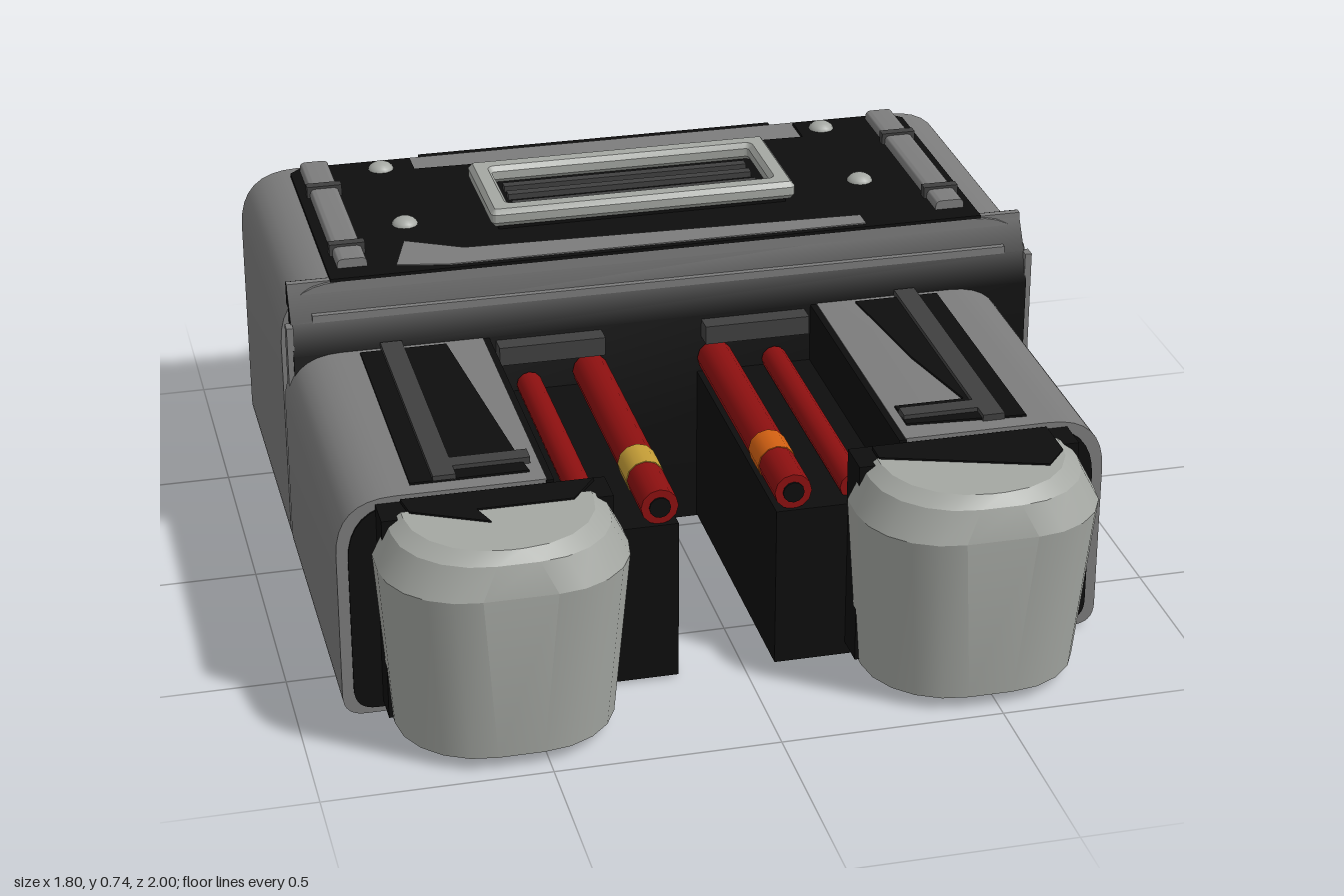
import * as THREE from 'three';
import { toCreasedNormals } from 'three/addons/utils/BufferGeometryUtils.js';

const material = (name, color) => {
  const m = new THREE.MeshStandardMaterial({ color });
  m.name = name;
  return m;
};

export function createModel() {
  const model = new THREE.Group();
  const grey = material('hull grey', 0x7c7c7c);
  const black = material('black', 0x0e0e0e);
  const steel = material('dark steel', 0x404040);
  const light = material('light metal', 0xa4a7a2);
  const red = material('red', 0x8c1010);
  const yellow = material('yellow', 0xc39c36);
  const orange = material('orange', 0xd26012);

  const add = (name, geometry, mat, x = 0, y = 0, z = 0) => {
    const mesh = new THREE.Mesh(geometry, mat);
    mesh.name = name;
    mesh.position.set(x, y, z);
    model.add(mesh);
    return mesh;
  };
  // Box given by its limits on each axis
  const block = (name, mat, x0, x1, y0, y1, z0, z1) =>
    add(name, new THREE.BoxGeometry(x1 - x0, y1 - y0, z1 - z0), mat,
      (x0 + x1) / 2, (y0 + y1) / 2, (z0 + z1) / 2);

  // Rectangle with its own radius per corner: bottom left, bottom right, top right, top left
  const roundRect = (x0, x1, y0, y1, [bl, br, tr, tl]) => {
    const s = new THREE.Shape();
    s.moveTo(x0 + bl, y0);
    s.lineTo(x1 - br, y0).quadraticCurveTo(x1, y0, x1, y0 + br);
    s.lineTo(x1, y1 - tr).quadraticCurveTo(x1, y1, x1 - tr, y1);
    s.lineTo(x0 + tl, y1).quadraticCurveTo(x0, y1, x0, y1 - tl);
    s.lineTo(x0, y0 + bl).quadraticCurveTo(x0, y0, x0 + bl, y0);
    return s;
  };
  const extrude = (shape, depth, curveSegments = 8) => toCreasedNormals(
    new THREE.ExtrudeGeometry(shape, { depth, bevelEnabled: false, curveSegments }), 0.6);
  // Thin horizontal plate from x,z points, with its top at the given height
  const plate = (name, mat, y, points) => {
    const shape = new THREE.Shape(points.map(([x, z]) => new THREE.Vector2(x, z)));
    add(name, extrude(shape, 0.008).rotateX(Math.PI / 2), mat, 0, y, 0);
  };
  // Skin stretched over rows of points
  const loft = (rows, crease) => {
    const n = rows[0].length, index = [];
    for (let i = 0; i < rows.length - 1; i++) {
      for (let j = 0; j < n - 1; j++) {
        const a = i * n + j, d = a + n;
        index.push(a, a + 1, d + 1, a, d + 1, d);
      }
    }
    const g = new THREE.BufferGeometry();
    g.setAttribute('position', new THREE.Float32BufferAttribute(rows.flat(2), 3));
    g.setIndex(index);
    return toCreasedNormals(g, crease);
  };

  // Main hull
  add('hull', extrude(roundRect(-0.9, 0.9, 0, 0.68, [0.06, 0.06, 0.14, 0.14]), 0.69), grey, 0, 0, -0.79);

  // Collar with sloped front between hull and arms
  const collar = new THREE.Shape([[0.13, 0], [0.04, 0], [0.04, 0.53], [0.065, 0.6], [0.115, 0.68], [0.13, 0.68]]
    .map(([x, y]) => new THREE.Vector2(x, y)));
  add('collar', extrude(collar, 1.76).rotateY(Math.PI / 2), black, -0.88, 0, 0);
  block('collarTrim', grey, -0.83, 0.83, 0.6, 0.618, -0.08, -0.062);
  block('collarTopTrim', grey, -0.88, 0.88, 0.662, 0.682, -0.125, -0.108);
  for (const s of [-1, 1]) {
    block('collarSideTrim', grey, s * 0.885 - 0.008, s * 0.885 + 0.008, 0.02, 0.6, -0.075, -0.045);
  }

  // Black roof panel with bare metal areas
  plate('roofPanel', black, 0.688, [[-0.78, -0.1], [-0.78, -0.74], [-0.75, -0.77], [-0.48, -0.77],
    [-0.48, -0.7], [0.5, -0.675], [0.5, -0.77], [0.75, -0.77], [0.78, -0.74], [0.78, -0.1]]);
  plate('roofBarePatch', grey, 0.691, [[-0.62, -0.14], [-0.58, -0.27], [-0.45, -0.2], [0.5, -0.165],
    [0.5, -0.115], [-0.5, -0.115]]);

  // Roof vent: bevelled frame, dark well and slats
  const frame = roundRect(-0.37, 0.37, -0.155, 0.155, [0.015, 0.015, 0.015, 0.015]);
  frame.holes.push(roundRect(-0.32, 0.32, -0.105, 0.105, [0.01, 0.01, 0.01, 0.01]));
  const frameGeometry = toCreasedNormals(new THREE.ExtrudeGeometry(frame,
    { depth: 0.02, bevelThickness: 0.012, bevelSize: 0.01, bevelOffset: -0.01, bevelSegments: 1 }), 0.5);
  add('ventFrame', frameGeometry.rotateX(-Math.PI / 2), light, 0, 0.712, -0.425);
  block('ventBase', black, -0.35, 0.35, 0.68, 0.702, -0.56, -0.29);
  for (const z of [-0.485, -0.435, -0.375]) block('ventSlat', steel, -0.3, 0.3, 0.7, 0.716, z - 0.012, z + 0.012);

  for (const s of [-1, 1]) {
    // Roof rails with clamps
    const rail = add('roofRail', extrude(roundRect(-0.035, 0.035, 0, 0.035, [0, 0, 0.015, 0.015]), 0.6), grey,
      s * 0.72, 0.675, -0.75);
    rail.scale.z = 0.99;
    for (const z of [-0.59, -0.24]) block('railClamp', steel, s * 0.72 - 0.042, s * 0.72 + 0.042, 0.68, 0.716, z - 0.012, z + 0.012);
    // Roof bolts
    for (const z of [-0.72, -0.375]) {
      const bolt = add('roofBolt', new THREE.SphereGeometry(0.032, 14, 6, 0, Math.PI * 2, 0, Math.PI / 2), light, s * 0.56, 0.684, z);
      bolt.scale.y = 0.7;
    }
    // Black outline of the rear panels
    const outline = roundRect(-0.17, 0.17, -0.25, 0.25, [0.02, 0.02, 0.02, 0.02]);
    outline.holes.push(roundRect(-0.155, 0.155, -0.235, 0.235, [0.015, 0.015, 0.015, 0.015]));
    add('rearPanelOutline', extrude(outline, 0.008), black, s * 0.64, 0.35, -0.796);
    block('rearPanelShade', black, s * 0.495 - 0.04, s * 0.495 + 0.04, 0.08, 0.6, -0.797, -0.789);
  }

  // Faceted bulge on the back
  const bulgeRows = [
    [0, -0.79, -0.785], [0.07, -1, -0.81], [0.43, -1, -0.85], [0.55, -0.94, -0.865], [0.63, -0.86, -0.855], [0.655, -0.78, -0.78],
  ].map(([y, mid, side]) => [[0.46, -0.78], [0.43, side], [0.12, mid], [-0.12, mid], [-0.43, side], [-0.46, -0.78]]
    .map(([x, z]) => [x, y, z]));
  add('rearBulge', loft(bulgeRows, 0.45), grey);
  block('rearBulgeSeam', black, -0.45, 0.45, 0.655, 0.672, -0.825, -0.78);

  // Bumper cap: rounded plan, widest near the top
  const ring = ([y, w, front]) => {
    const pts = [[-w, y, 0.74]], r = 0.19;
    for (const s of [-1, 1]) {
      for (let k = 0; k <= 5; k++) {
        const a = (s < 0 ? k : 5 - k) / 5 * Math.PI / 2;
        pts.push([s * (w - r + r * Math.cos(a)), y, front - r + r * Math.sin(a)]);
      }
    }
    pts.push([w, y, 0.74]);
    return pts;
  };
  const rings = [[0.03, 0.24, 0.965], [0.43, 0.27, 1], [0.5, 0.235, 0.98], [0.522, 0.205, 0.955]].map(ring);
  const centre = (y) => rings[0].map(() => [0, y, 0.74]);
  const capGeometry = loft([centre(0.03), ...rings, centre(0.522)], 0.4);

  // Two arms, mirrored about a line slightly off centre
  const axis = -0.04;
  for (const s of [-1, 1]) {
    const at = (v) => axis + s * v;
    const armBlock = (name, mat, a, b, ...rest) =>
      block(name, mat, Math.min(at(a), at(b)), Math.max(at(a), at(b)), ...rest);
    const span = [Math.min(at(0.4), at(0.86)), Math.max(at(0.4), at(0.86))];
    const corners = s > 0 ? [0, 0.05, 0.13, 0] : [0.05, 0, 0, 0.13];
    add('armShell', extrude(roundRect(...span, 0.005, 0.53, corners), 0.76), grey, 0, 0, -0.08);
    // Dark front face inside the shell rim
    const inset = [Math.min(at(0.4), at(0.835)), Math.max(at(0.4), at(0.835))];
    add('armFront', extrude(roundRect(...inset, 0.02, 0.515, corners), 0.008), black, 0, 0, 0.677);
    armBlock('armInnerWall', black, 0.385, 0.402, 0.005, 0.528, -0.05, 0.682);
    armBlock('armInner', black, 0.11, 0.4, 0.005, 0.385, -0.05, 0.68);

    // Top inlay, rail and foot
    plate('armInlay', black, 0.535, s < 0
      ? [[-0.73, -0.02], [-0.53, -0.02], [-0.48, 0.57], [-0.47, 0.64], [-0.73, 0.64]]
      : [[0.65, -0.02], [0.45, -0.02], [0.49, 0.3], [0.54, 0.53], [0.38, 0.53], [0.38, 0.62], [0.65, 0.64]]);
    armBlock('armRail', steel, 0.59, 0.64, 0.525, 0.545, -0.04, 0.64);
    armBlock('armRailFoot', steel, 0.42, 0.59, 0.525, 0.545, 0.56, 0.6);

    // Red rods with a coloured band and dark ends
    const rod = (name, mat, r, x, y, z0, z1) =>
      add(name, new THREE.CylinderGeometry(r, r, z1 - z0, 12).rotateX(Math.PI / 2), mat, at(x), y, (z0 + z1) / 2);
    rod('innerRod', red, 0.042, 0.15, 0.425, -0.03, 0.67);
    rod('innerRodBand', s < 0 ? yellow : orange, 0.044, 0.15, 0.425, 0.45, 0.535);
    rod('innerRodEnd', black, 0.024, 0.15, 0.425, 0.66, 0.675);
    rod('outerRod', red, 0.03, 0.295, 0.405, -0.03, 0.64);
    armBlock('rodBracket', steel, 0.12, 0.37, 0.475, 0.52, -0.045, 0.005);

    // Bumper cap with black root and worn top
    const x = at(0.522);
    block('bumperRoot', black, x - 0.25, x + 0.25, 0.035, 0.515, 0.67, 0.76);
    add('bumperCap', capGeometry, light, x);
    plate('bumperWear', black, 0.526, s < 0
      ? [[-0.76, 0.69], [-0.34, 0.69], [-0.4, 0.77], [-0.61, 0.77], [-0.59, 0.83], [-0.75, 0.75]]
      : [[0.28, 0.69], [0.68, 0.69], [0.68, 0.8], [0.63, 0.86], [0.28, 0.745]]);
  }
  return model;
}
